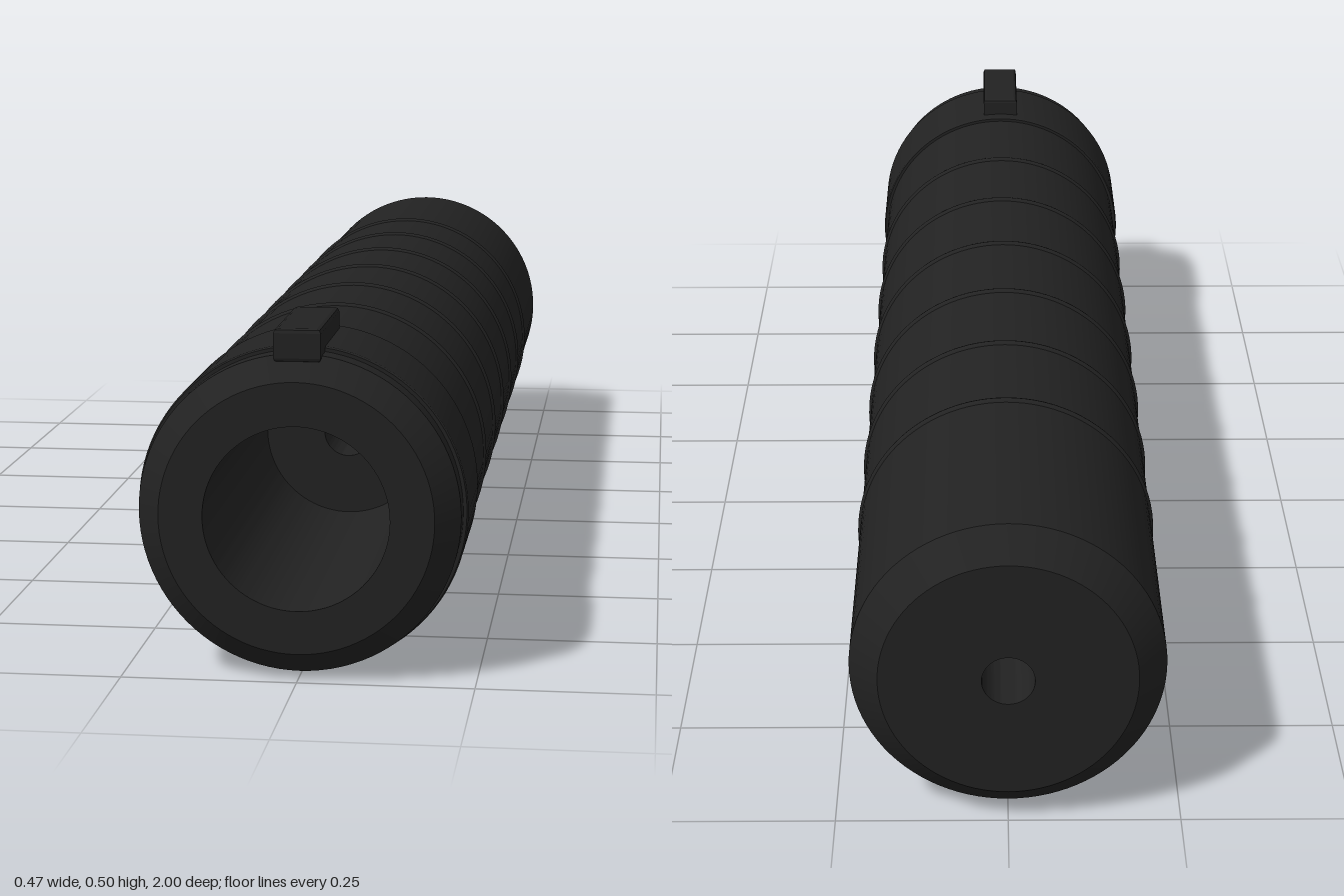
import * as THREE from 'three';
import { toCreasedNormals } from 'three/addons/utils/BufferGeometryUtils.js';

const AXIS_Y = 0.234;

export function createModel() {
  const model = new THREE.Group();
  model.name = 'ribbedTube';
  const black = new THREE.MeshStandardMaterial({ color: 0x222222 });
  black.name = 'matte black';

  const add = (name, geometry, x, y, z) => {
    const mesh = new THREE.Mesh(geometry, black);
    mesh.name = name;
    mesh.position.set(x, y, z);
    model.add(mesh);
    return mesh;
  };

  // Turned part around the z axis; profile is [radius, z], counterclockwise
  const turned = (name, profile) => {
    const points = profile.map(([r, z]) => new THREE.Vector2(r, z));
    const geometry = new THREE.LatheGeometry(points, 96).rotateX(Math.PI / 2);
    return add(name, toCreasedNormals(geometry, 0.4), 0, AXIS_Y, 0);
  };

  // Chamfered body with a wide front socket and a narrow through bore
  turned('body', [
    [0.038, -1], [0.185, -1], [0.227, -0.955], [0.227, 0.965], [0.193, 1],
    [0.131, 1], [0.131, 0.4], [0.038, 0.4], [0.038, -1],
  ]);

  // Raised collar near the front
  turned('collar', [
    [0.22, 0.75], [0.232, 0.75], [0.234, 0.753], [0.234, 0.927], [0.232, 0.93], [0.22, 0.93],
  ]);

  // Six evenly spaced grip rings
  for (let i = 0; i < 6; i++) {
    const ring = new THREE.TorusGeometry(0.223, 0.008, 12, 96);
    add('gripRing' + (i + 1), ring, 0, AXIS_Y, 0.527 - i * 0.216);
  }

  // Chamfered key on top of the collar
  const bevel = 0.006;
  const w = 0.033 - bevel, l = 0.102 - bevel;
  const plan = new THREE.Shape([
    new THREE.Vector2(-w, -l), new THREE.Vector2(w, -l),
    new THREE.Vector2(w, l), new THREE.Vector2(-w, l),
  ]);
  const key = new THREE.ExtrudeGeometry(plan, {
    depth: 0.035, bevelEnabled: true, bevelThickness: bevel, bevelSize: bevel, bevelSegments: 2,
  }).rotateX(-Math.PI / 2);
  add('topKey', key, 0, 0.497 - 0.035 - bevel, 0.875);

  return model;
}
